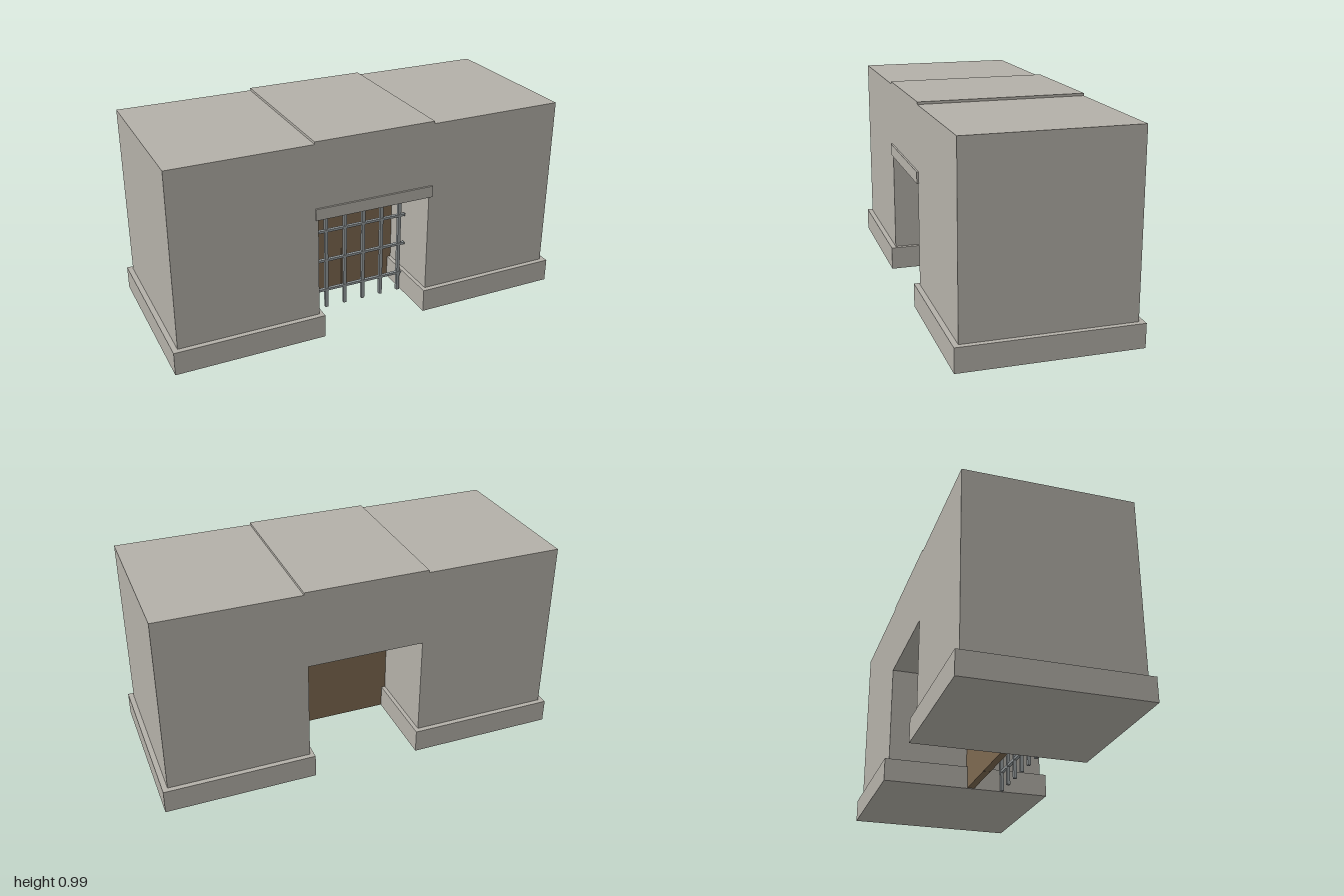
import * as THREE from 'three';

export function createModel() {
  const model = new THREE.Group();
  model.name = 'gatehouse';

  const material = (name, color) => {
    const m = new THREE.MeshStandardMaterial({ color });
    m.name = name;
    return m;
  };
  const stone = material('stone', 0xb3b0a8);
  const wood = material('wood', 0x7c6850);
  const iron = material('iron', 0x959b9d);

  // Box given by its lower and upper corners
  const box = (name, mat, [x0, y0, z0], [x1, y1, z1], parent = model) => {
    const mesh = new THREE.Mesh(new THREE.BoxGeometry(x1 - x0, y1 - y0, z1 - z0), mat);
    mesh.position.set((x0 + x1) / 2, (y0 + y1) / 2, (z0 + z1) / 2);
    mesh.name = name;
    parent.add(mesh);
    return mesh;
  };

  // Mirrored plinths, towers and door leaves
  for (const side of [-1, 1]) {
    const label = side > 0 ? 'left' : 'right';
    const mirrored = (part, mat, [a, y0, z0], [b, y1, z1]) => {
      const [x0, x1] = side > 0 ? [a, b] : [-b, -a];
      box(label + part, mat, [x0, y0, z0], [x1, y1, z1]);
    };
    mirrored('Plinth', stone, [0.265, 0, -0.425], [1, 0.115, 0.425]);
    mirrored('Tower', stone, [0.285, 0.115, -0.4], [0.975, 0.978, 0.4]);
    mirrored('DoorLeaf', wood, [0.001, 0.003, 0.003], [0.284, 0.577, 0.038]);
  }

  // Wall above the passage, its raised roof slab and the front lintel
  box('gateWall', stone, [-0.285, 0.61, -0.4], [0.285, 0.978, 0.4]);
  box('roofSlab', stone, [-0.3, 0.978, -0.4], [0.3, 0.99, 0.4]);
  box('lintel', stone, [-0.3, 0.612, 0.4], [0.3, 0.668, 0.409]);

  // Portcullis grid
  const portcullis = new THREE.Group();
  portcullis.name = 'portcullis';
  model.add(portcullis);
  const z = 0.18, r = 0.008, t = 0.006;
  for (let i = 0; i < 6; i++) {
    const x = -0.25 + i * 0.1;
    box('uprightBar', iron, [x - r, 0, z - r], [x + r, 0.575, z + r], portcullis);
  }
  for (const y of [0.1, 0.265, 0.425, 0.565]) {
    box('crossBar', iron, [-0.28, y - t, z - t], [0.28, y + t, z + r + 0.002], portcullis);
  }

  return model;
}
